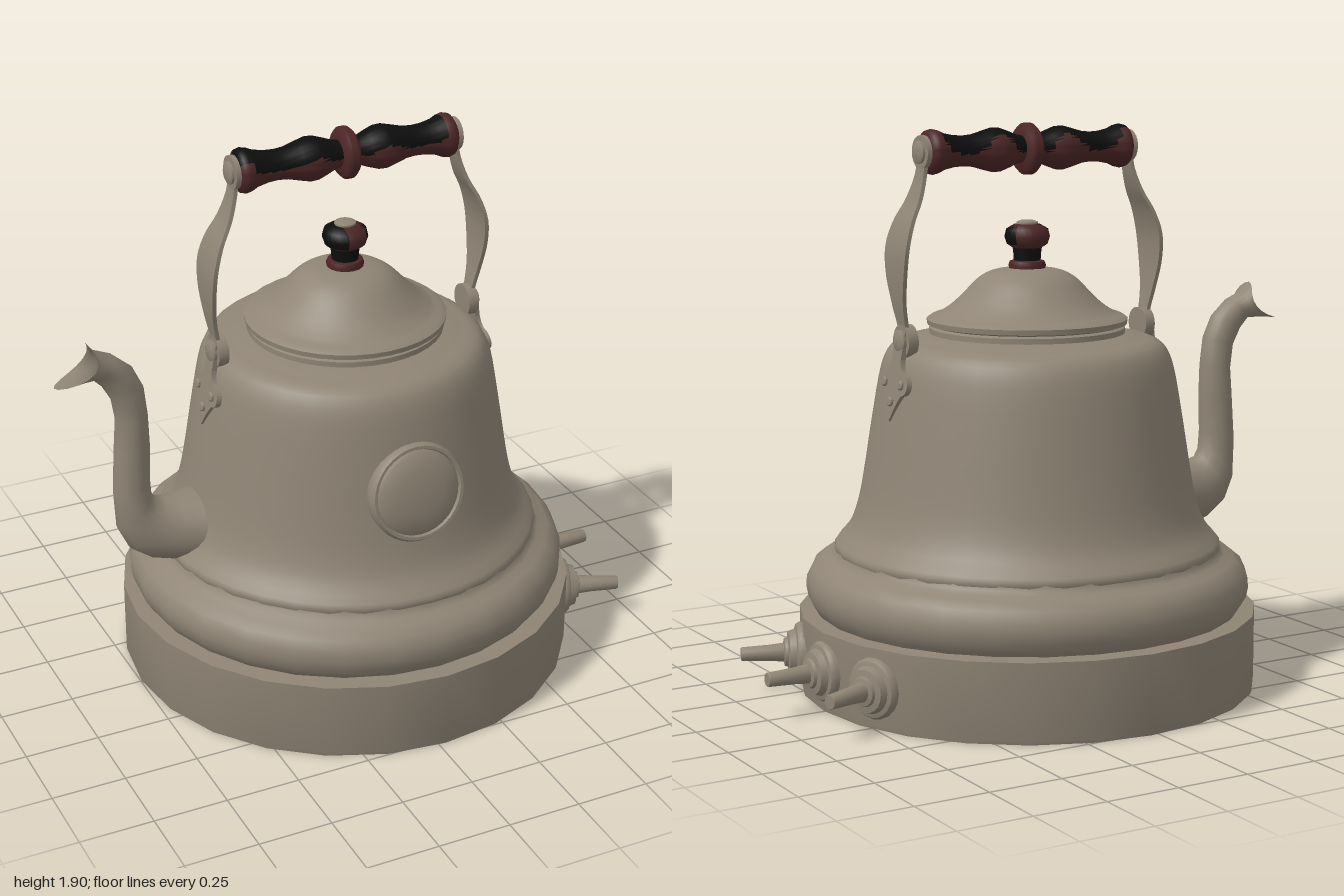
import * as THREE from 'three';
import { toCreasedNormals } from 'three/addons/utils/BufferGeometryUtils.js';

const metal = new THREE.MeshStandardMaterial({ color: 0x8f8475, side: THREE.DoubleSide });
metal.name = 'warm grey metal';
const red = new THREE.MeshStandardMaterial({ color: 0x4d2626 });
red.name = 'dark red wood';
const black = new THREE.MeshStandardMaterial({ color: 0x0e0e0e });
black.name = 'black wood';

function add(parent, name, geo, mat = metal, x = 0, y = 0, z = 0) {
  const m = new THREE.Mesh(geo, mat);
  m.name = name;
  m.position.set(x, y, z);
  parent.add(m);
  return m;
}

// Turned part from [radius, height] pairs
function turned(profile, sides = 28, crease = 0.65) {
  const pts = profile.map(p => new THREE.Vector2(p[0], p[1]));
  return toCreasedNormals(new THREE.LatheGeometry(pts, sides), crease);
}

// Smooth curve through profile points
function smooth(profile, n) {
  const c = new THREE.CatmullRomCurve3(profile.map(p => new THREE.Vector3(p[0], p[1], p[2] || 0)));
  return c.getPoints(n).map(p => [p.x, p.y, p.z]);
}

// Skin over a list of equal-sized closed rings
function loft(rings, crease) {
  const n = rings[0].length, idx = [];
  for (let i = 0; i < rings.length - 1; i++) {
    for (let j = 0; j < n; j++) {
      const a = i * n + j, b = i * n + (j + 1) % n;
      idx.push(a, b, a + n, b, b + n, a + n);
    }
  }
  const g = new THREE.BufferGeometry();
  g.setAttribute('position', new THREE.Float32BufferAttribute(rings.flat(2), 3));
  g.setIndex(idx);
  return toCreasedNormals(g, crease);
}

// Assign material 1 to triangles whose centre passes the test
function twoTone(geo, test) {
  const p = geo.attributes.position;
  let start = 0, current = -1;
  for (let i = 0; i < p.count; i += 3) {
    const c = [0, 1, 2].map(k => (p.getComponent(i, k) + p.getComponent(i + 1, k) + p.getComponent(i + 2, k)) / 3);
    const m = test(...c) ? 1 : 0;
    if (m !== current) {
      if (current >= 0) geo.addGroup(start, i - start, current);
      start = i;
      current = m;
    }
  }
  geo.addGroup(start, p.count - start, current);
  return geo;
}

function makeSpout() {
  // lower x, y, upper x, y, half width, how far the sides are pulled back
  const sections = [
    [-.45, .46, -.45, .70, .14, 0], [-.54, .46, -.53, .70, .13, 0], [-.62, .467, -.59, .70, .10, 0],
    [-.70, .49, -.64, .70, .085, 0], [-.77, .54, -.675, .71, .075, 0], [-.808, .62, -.69, .74, .068, 0],
    [-.815, .76, -.692, .80, .062, 0], [-.805, .92, -.687, .92, .058, 0], [-.797, 1.02, -.69, 1.03, .055, 0],
    [-.81, 1.10, -.70, 1.13, .05, 0], [-.84, 1.155, -.735, 1.205, .05, 0], [-.875, 1.19, -.80, 1.26, .05, .01],
    [-.94, 1.188, -.86, 1.285, .055, .035], [-1, 1.182, -.885, 1.315, .06, .065]];
  return loft(sections.map(([ox, oy, ix, iy, hz, sag]) => {
    const ring = [];
    for (let j = 0; j < 20; j++) {
      const t = j / 20 * Math.PI * 2, c = Math.cos(t), s = Math.sin(t);
      ring.push([(ox + ix) / 2 + (ox - ix) / 2 * c + sag * s * s,
        (oy + iy) / 2 + (oy - iy) / 2 * c - sag * .2 * s * s, hz * s]);
    }
    return ring;
  }), 1.0);
}

// Strap that bows outwards and widens in the middle: x, y, half width
function makeStrap() {
  const path = smooth([[.392, 1.83, .03], [.397, 1.75, .028], [.425, 1.66, .045], [.462, 1.59, .062],
    [.487, 1.51, .072], [.492, 1.42, .062], [.483, 1.32, .038], [.468, 1.24, .026], [.465, 1.19, .026]], 28);
  const t = .007;
  return loft(path.map(([x, y, w]) => [[x - t, y, -w], [x + t, y, -w], [x + t, y, w], [x - t, y, w]]), .6);
}

// Trefoil mounting plate hanging down from its pivot
function makeBracket() {
  const s = new THREE.Shape();
  s.moveTo(-.035, .03);
  s.lineTo(-.03, -.06);
  s.quadraticCurveTo(-.035, -.10, -.06, -.105);
  s.absarc(-.06, -.14, .035, Math.PI / 2, Math.PI * 1.5, false);
  s.quadraticCurveTo(-.03, -.21, 0, -.265);
  s.quadraticCurveTo(.03, -.21, .06, -.175);
  s.absarc(.06, -.14, .035, -Math.PI / 2, Math.PI / 2, false);
  s.quadraticCurveTo(.035, -.10, .03, -.06);
  s.lineTo(.035, .03);
  const g = new THREE.ExtrudeGeometry(s, { depth: .018, bevelEnabled: false, curveSegments: 6 });
  return g.rotateY(Math.PI / 2);
}

// Domed stud pointing along +x
function stud(r, h) {
  return turned([[r, 0], [r, h * .6], [r * .8, h * .85], [r * .55, h * .9], [r * .4, h], [0, h]], 16).rotateZ(-Math.PI / 2);
}

export function createModel() {
  const model = new THREE.Group();
  model.name = 'kettle';
  const kettle = new THREE.Group();
  kettle.name = 'kettleParts';
  kettle.position.x = .025;
  model.add(kettle);

  // Base drum and bell-shaped body
  add(kettle, 'base', turned([[0, 0], [.772, 0], [.775, .01], [.775, .265], [.70, .268]], 24));
  add(kettle, 'shoulderRing', turned([[.70, .25], [.725, .28], [.743, .31], [.75, .345], [.747, .38], [.73, .415],
    [.70, .44], [.668, .452], [.655, .465], [.65, .48]], 28, .8));
  add(kettle, 'body', turned([[.64, .45], [.652, .475], [.652, .49], ...smooth([[.645, .50], [.60, .555], [.572, .63], [.552, .73],
    [.533, .85], [.515, .96], [.497, 1.06], [.48, 1.12], [.455, 1.16], [.42, 1.178], [.38, 1.185]], 24), [.33, 1.2], [.29, 1.2]], 36));

  // Lid
  add(kettle, 'lid', turned([[.31, 1.19], [.328, 1.2], [.328, 1.218], [.315, 1.224], [.335, 1.23], [.337, 1.247], [.32, 1.258],
    ...smooth([[.30, 1.262], [.255, 1.292], [.21, 1.335], [.165, 1.38], [.12, 1.405], [.06, 1.415]], 14), [0, 1.418]], 36));

  // Lid knob
  add(kettle, 'knobFoot', turned([[.06, 1.41], [.063, 1.425], [.058, 1.438], [.04, 1.442]], 20), red);
  add(kettle, 'knobNeck', turned([[.045, 1.435], [.046, 1.46], [.05, 1.49]], 20), black);
  add(kettle, 'knobBulb', twoTone(turned([[.045, 1.48], [.068, 1.495], [.076, 1.52], [.07, 1.545], [.045, 1.56], [.03, 1.563]], 24, .9),
    (x, y, z) => y > 1.5 && (x < -.02 || x > .055) && z > -.04), [red, black]);
  add(kettle, 'knobCap', turned([[.036, 1.555], [.036, 1.568], [.025, 1.573], [0, 1.574]], 16));

  // Turned wooden grip, darkened along the top
  const half = [[.02, .022], [.046, .027], [.048, .045], [.06, .075], [.072, .11], [.073, .135], [.064, .17], [.053, .21],
    [.05, .245], [.052, .28], [.06, .32], [.07, .342], [.074, .36], [.07, .376], [.055, .386], [0, .388]];
  const grip = [...half.map(([r, y]) => [r, -y]).reverse(), ...half];
  const gripGeo = twoTone(turned(grip, 48, .9), (x, y, z) => {
    const r = Math.hypot(x, z), a = Math.atan2(z, -x), k = THREE.MathUtils.clamp((.072 - r) / .02, 0, 1);
    if (Math.abs(y) > .345) return a > -.5 && a < .9 && y < 0;
    return a > -.75 - k * 1.0 && a < 1.25 + k * .4;
  });
  add(kettle, 'grip', gripGeo, [red, black], 0, 1.81).rotation.z = -Math.PI / 2;
  add(kettle, 'gripRing', turned([[.03, -.024], [.075, -.022], [.086, -.01], [.086, .01], [.075, .022], [.03, .024]], 32, .9),
    red, 0, 1.81).rotation.z = -Math.PI / 2;

  // Handle straps, pivots and brackets on both sides
  for (const side of ['left', 'right']) {
    const g = new THREE.Group();
    g.name = side + 'HandleSide';
    if (side === 'right') g.rotation.y = Math.PI;
    kettle.add(g);
    add(g, 'strap', makeStrap());
    add(g, 'strapTopDisc', turned([[0, -.01], [.055, -.01], [.055, .01], [0, .01]], 20).rotateZ(-Math.PI / 2), metal, .393, 1.81);
    add(g, 'strapTopStud', stud(.037, .018), metal, .4, 1.81);
    add(g, 'pivotDisc', turned([[0, -.024], [.055, -.024], [.055, .012], [0, .012]], 20).rotateZ(-Math.PI / 2), metal, .465, 1.2);
    add(g, 'pivotStud', stud(.038, .02), metal, .475, 1.2);
    const plate = add(g, 'bracket', makeBracket(), metal, .468, 1.2);
    plate.rotation.z = .155;
    for (const [y, z] of [[-.14, -.055], [-.14, .055], [-.2, 0]]) add(plate, 'bracketRivet', stud(.016, .014), metal, .016, y, z);
  }

  // Spout with an open flared lip
  add(kettle, 'spout', makeSpout(), metal, -.025);

  // Round medallion on the front
  const medallion = add(kettle, 'medallion', turned([[.15, -.06], [.166, -.02], [.168, .012], [.16, .026], [.15, .026],
    [.146, .016], [.135, .026], [.08, .038], [0, .042]], 32), metal, 0, .83, .53);
  medallion.rotation.x = Math.PI / 2 - .16;

  // Three taps around the base
  for (const a of [-1, 0, 1]) {
    const g = new THREE.Group();
    g.name = 'tap';
    g.rotation.y = a * .35;
    kettle.add(g);
    const tap = turned([[.1, -.03], [.1, .01], [.092, .022], [.078, .026], [.074, .035], [.07, .048], [.05, .052],
      [.046, .062], [.03, .066]], 20).rotateZ(-Math.PI / 2);
    add(g, 'tapFlange', tap, metal, .768, .135);
    add(g, 'tapStem', turned([[.034, 0], [.028, .06], [.024, .15], [.022, .155], [0, .155]], 12).rotateZ(-Math.PI / 2), metal, .82, .135);
  }
  return model;
}
